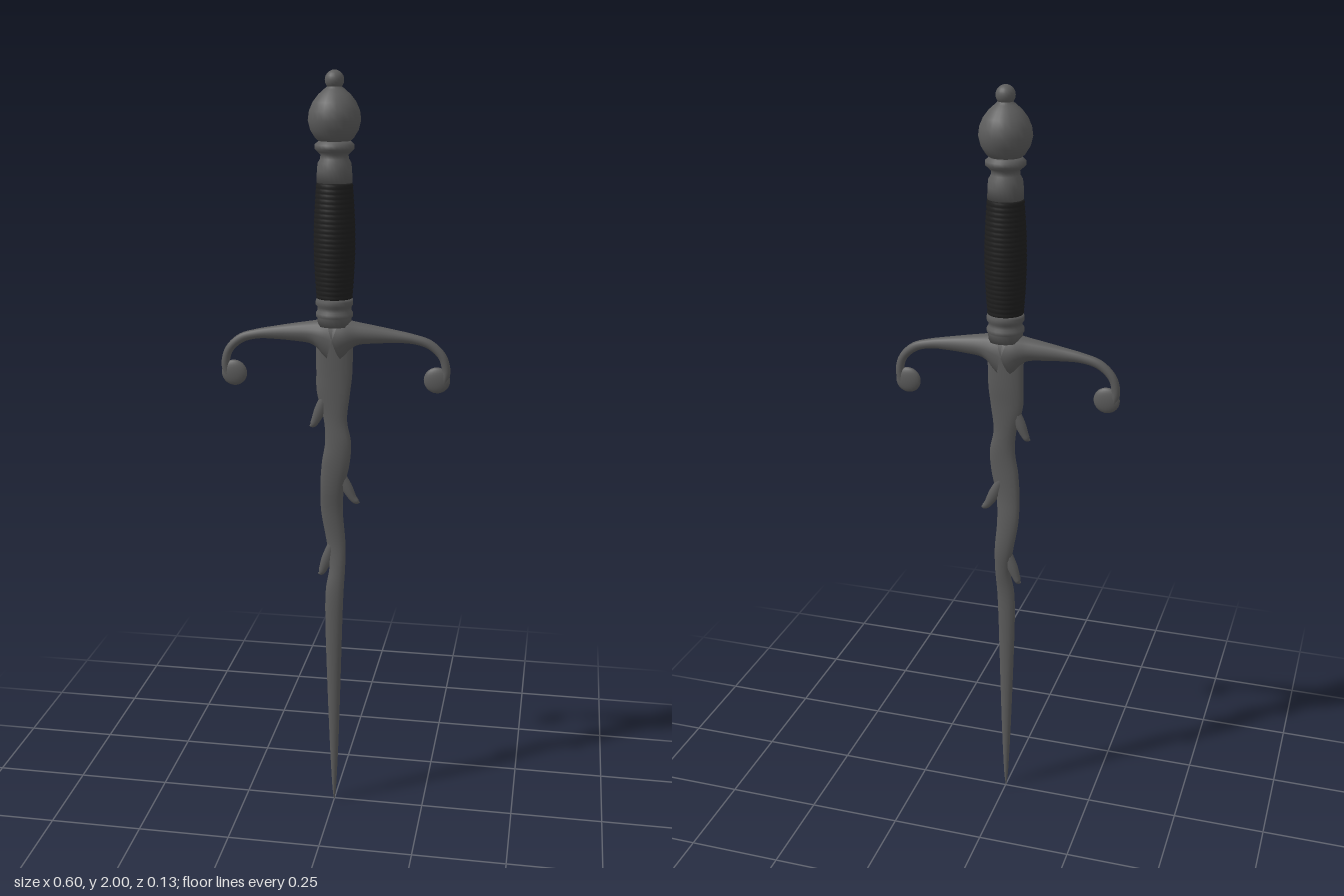
import * as THREE from 'three';

// Smooth closed loft; each section is [x, y, halfWidth, halfDepth, z]
function loft(sections, steps, sides, fixedNormal) {
  const path = new THREE.CatmullRomCurve3(
    sections.map(([x, y, , , z = 0]) => new THREE.Vector3(x, y, z)), false, 'catmullrom');
  const size = new THREE.CatmullRomCurve3(
    sections.map(([, , a, b]) => new THREE.Vector3(a, b, 0)), false, 'catmullrom');
  const pos = [], index = [];
  for (let i = 0; i <= steps; i++) {
    const t = i / steps;
    const c = path.getPoint(t), s = size.getPoint(t), d = path.getTangent(t);
    const n = fixedNormal || new THREE.Vector3(-d.y, d.x, 0).normalize();
    const a = Math.max(s.x, 0.0004), b = Math.max(s.y, 0.0004);
    for (let j = 0; j < sides; j++) {
      const q = (j / sides) * Math.PI * 2;
      pos.push(c.x + n.x * a * Math.cos(q), c.y + n.y * a * Math.cos(q), c.z + b * Math.sin(q));
      if (i < steps) {
        const k = (j + 1) % sides, r = i * sides, u = r + sides;
        index.push(r + j, r + k, u + k, r + j, u + k, u + j);
      }
    }
  }
  const g = new THREE.BufferGeometry();
  g.setAttribute('position', new THREE.Float32BufferAttribute(pos, 3));
  g.setIndex(index);
  g.computeVertexNormals();
  return g;
}

const lathe = (pts) =>
  new THREE.LatheGeometry(pts.map(([r, y]) => new THREE.Vector2(r, y)), 24);

export function createModel() {
  const steel = new THREE.MeshStandardMaterial({ color: 0x5c5c5c });
  steel.name = 'dark steel';
  const leather = new THREE.MeshStandardMaterial({ color: 0x1e1e1e });
  leather.name = 'black leather';

  const model = new THREE.Group();
  model.name = 'dagger';
  const add = (name, geometry, material = steel, parent = model) => {
    const mesh = new THREE.Mesh(geometry, material);
    mesh.name = name;
    parent.add(mesh);
    return mesh;
  };

  // Wavy blade: [y, left edge, right edge, half thickness, z], tip upwards
  const edges = [
    [0, -0.001, 0.001, 0.001, 0.004], [0.05, -0.006, 0.006, 0.006, 0.005],
    [0.2, -0.013, 0.013, 0.01, 0.007], [0.4, -0.02, 0.019, 0.013, 0.008],
    [0.55, -0.024, 0.023, 0.014, 0.008], [0.64, -0.023, 0.026, 0.014, 0.006],
    [0.71, -0.014, 0.029, 0.014, -0.002], [0.78, -0.024, 0.028, 0.014, -0.009],
    [0.86, -0.037, 0.022, 0.014, -0.006], [0.93, -0.038, 0.026, 0.015, 0.002],
    [1.0, -0.033, 0.041, 0.016, 0.006], [1.06, -0.024, 0.045, 0.016, 0.006],
    [1.12, -0.028, 0.034, 0.015, 0.004], [1.19, -0.046, 0.041, 0.016, 0.002],
    [1.25, -0.048, 0.047, 0.018, 0], [1.34, -0.048, 0.048, 0.02, 0],
  ];
  add('blade', loft(edges.map(([y, l, r, b, z]) => [(l + r) / 2, y, (r - l) / 2, b, z]),
    90, 16, new THREE.Vector3(-1, 0, 0)));

  // Thorns growing downwards out of the blade edges: [side, root x, tip x, tip y, z]
  for (const [side, root, tip, y, z] of [
    [-1, 0.022, 0.066, 1.1, 0.004], [1, 0.012, 0.068, 0.893, 0], [-1, 0.008, 0.046, 0.682, -0.006],
  ]) {
    const w = tip - root;
    add('bladeThorn', loft([
      [side * root, y + 0.085, 0.012, 0.01, z],
      [side * (root + w * 0.35), y + 0.045, 0.015, 0.011, z],
      [side * (root + w * 0.65), y + 0.014, 0.011, 0.009, z],
      [side * (tip - 0.008), y + 0.003, 0.008, 0.007, z],
      [side * tip, y, 0.001, 0.001, z],
    ], 16, 10));
  }

  // Crossguard: one arm with a flattened curl end, turned about y for the other
  const arm = loft([
    [0, 1.336, 0.058, 0.045], [0.03, 1.346, 0.042, 0.04], [0.06, 1.35, 0.03, 0.031],
    [0.1, 1.349, 0.024, 0.024], [0.15, 1.346, 0.018, 0.017], [0.2, 1.341, 0.013, 0.013],
    [0.245, 1.328, 0.012, 0.011], [0.278, 1.298, 0.011, 0.011],
    [0.289, 1.26, 0.011, 0.011], [0.283, 1.228, 0.01, 0.01],
  ], 45, 16);
  for (const turn of [0, Math.PI]) {
    const guard = new THREE.Group();
    guard.name = turn ? 'rightGuard' : 'leftGuard';
    guard.rotation.y = turn;
    model.add(guard);
    add('guardArm', arm, steel, guard);
    const curl = add('guardCurl', new THREE.SphereGeometry(0.034, 20, 14), steel, guard);
    curl.position.set(0.266, 1.235, 0);
    curl.scale.z = 0.36;
  }

  // Ringed ferrule below the grip
  add('lowerFerrule', lathe([
    [0, 1.37], [0.044, 1.37], [0.044, 1.39], [0.048, 1.395], [0.048, 1.403], [0.043, 1.409],
    [0.043, 1.418], [0.048, 1.424], [0.048, 1.434], [0.045, 1.442], [0, 1.442],
  ]));

  // Wire-wrapped grip, slightly swollen in the middle
  const grip = [[0, 1.44]];
  for (let i = 0; i <= 72; i++) {
    const t = i / 72;
    grip.push([0.045 + 0.007 * Math.sin(Math.PI * t) + (i % 3 === 1 ? 0.0015 : 0), 1.44 + 0.29 * t]);
  }
  grip.push([0, 1.73]);
  add('grip', lathe(grip), leather);

  // Collar and neck above the grip
  add('upperFerrule', lathe([
    [0, 1.728], [0.045, 1.728], [0.044, 1.76], [0.042, 1.778], [0.036, 1.788], [0.035, 1.798],
    [0.042, 1.805], [0.05, 1.812], [0.05, 1.822], [0.043, 1.828], [0.037, 1.834], [0, 1.836],
  ]));

  // Pommel with a ball finial
  add('pommel', lathe([
    [0, 1.825], [0.036, 1.828], [0.048, 1.838], [0.06, 1.857], [0.066, 1.881], [0.063, 1.903],
    [0.054, 1.924], [0.04, 1.942], [0.026, 1.954], [0.017, 1.962], [0.015, 1.97], [0, 1.972],
  ]));
  const finial = add('finial', new THREE.SphereGeometry(0.024, 20, 14));
  finial.position.y = 1.976;

  return model;
}
